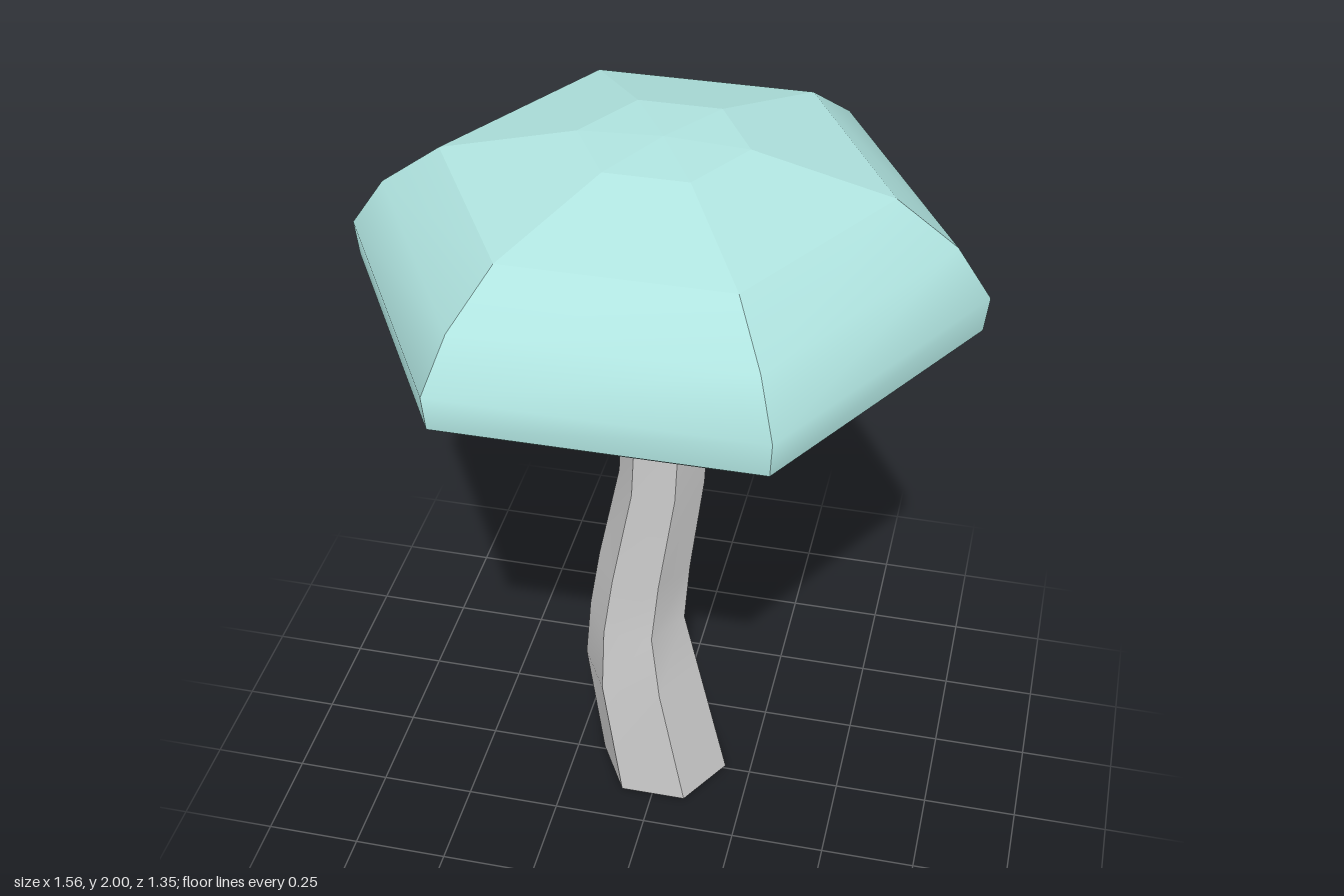
import * as THREE from 'three';
import { mergeGeometries } from 'three/addons/utils/BufferGeometryUtils.js';

const SIDES = 6;

// One flat-sided strip running down through the rings; smooth along its length, creased at its sides.
// Each ring is [radius, y, centreX, centreZ], listed from top to bottom.
function panel(rings, k) {
  const pos = [], index = [];
  rings.forEach(([r, y, cx = 0, cz = 0], i) => {
    for (const j of [k, k + 1]) {
      const a = (j / SIDES) * Math.PI * 2;
      pos.push(cx + r * Math.cos(a), y, cz + r * Math.sin(a));
    }
    if (i > 0) {
      const n = 2 * (i - 1);
      index.push(n, n + 1, n + 3, n, n + 3, n + 2);
    }
  });
  const g = new THREE.BufferGeometry();
  g.setAttribute('position', new THREE.Float32BufferAttribute(pos, 3));
  g.setIndex(index);
  g.computeVertexNormals();
  return g;
}

// Six-sided body made of bands, with a hard edge between bands
function hexBody(name, bands, color) {
  const parts = [];
  for (const band of bands)
    for (let k = 0; k < SIDES; k++) parts.push(panel(band, k));
  const mesh = new THREE.Mesh(mergeGeometries(parts), new THREE.MeshStandardMaterial({ color }));
  mesh.name = name;
  return mesh;
}

export function createModel() {
  const group = new THREE.Group();
  group.name = 'mushroom';

  // Cap: faceted crown, rounded sides, chamfered rim and hollow underside
  group.add(hexBody('cap', [
    [[0, 2], [0.205, 1.99]],
    [[0.205, 1.99], [0.545, 1.905]],
    [[0.545, 1.905], [0.695, 1.795], [0.78, 1.67], [0.77, 1.58]],
    [[0.77, 1.58], [0.69, 1.525]],
    [[0.69, 1.525], [0.57, 1.525]],
    [[0.57, 1.525], [0.51, 1.585]],
    [[0.51, 1.585], [0, 1.65]],
  ], 0xb0e4e0));

  // Stem: bent and tapering, closed at the foot
  const z = -0.01;
  group.add(hexBody('stem', [
    [
      [0.112, 1.65, -0.005, z], [0.112, 1.525, 0, z], [0.113, 1.33, 0.008, z],
      [0.113, 1.01, -0.007, z], [0.124, 0.72, -0.054, z], [0.131, 0.54, -0.075, z],
      [0.159, 0.36, -0.062, z], [0.177, 0, 0.002, z],
    ],
    [[0.177, 0, 0.002, z], [0, 0, 0.002, z]],
  ], 0xcccccc));

  return group;
}
